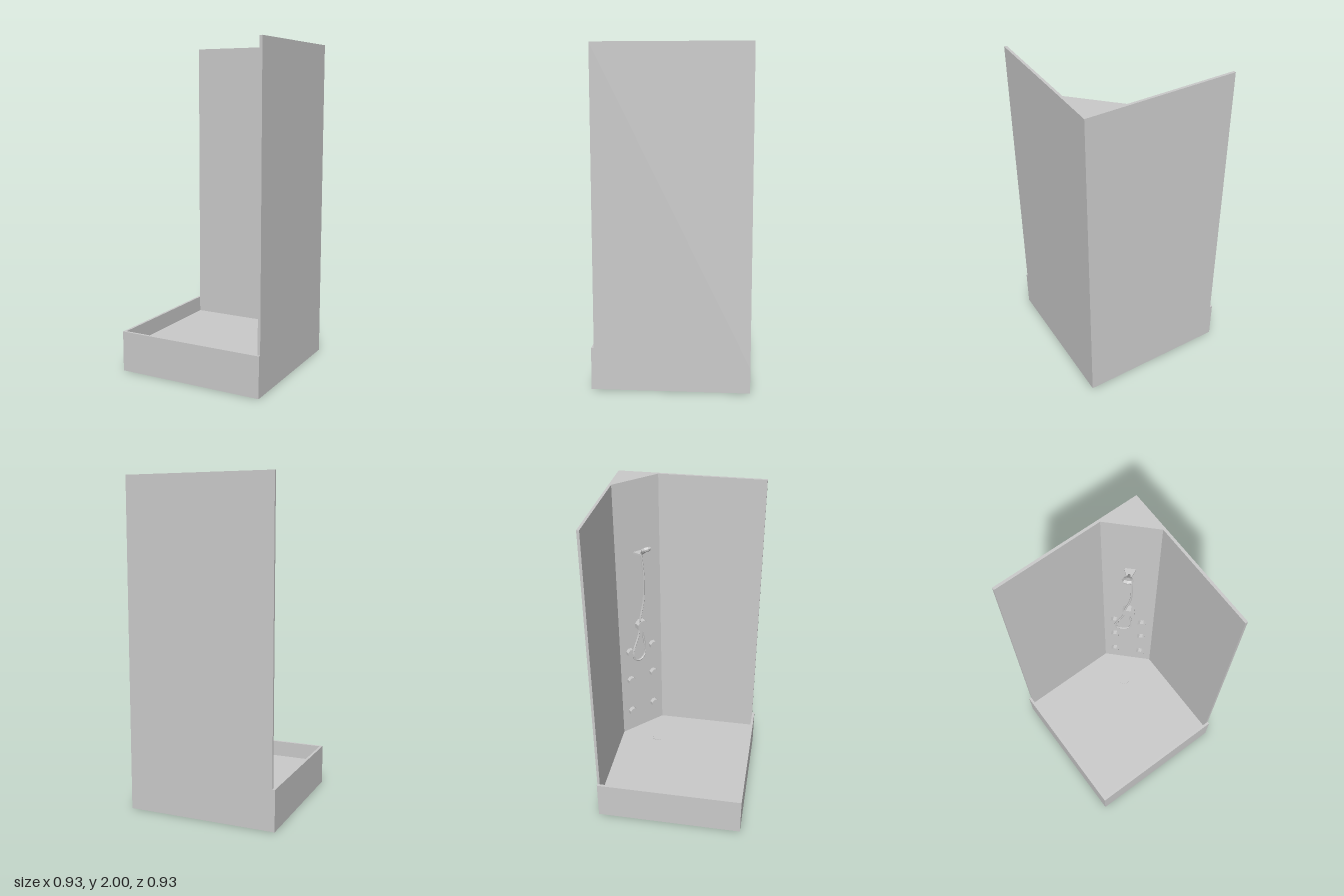
import * as THREE from 'three';

const mat = new THREE.MeshStandardMaterial({ color: 0xcccccc, flatShading: true });

function add(parent, name, geo, x = 0, y = 0, z = 0) {
  const m = new THREE.Mesh(geo, mat);
  m.name = name;
  m.position.set(x, y, z);
  parent.add(m);
  return m;
}

// Vertical prism from a plan outline of [x, z] points
function prism(points, height) {
  const shape = new THREE.Shape(points.map(([x, z]) => new THREE.Vector2(x, -z)));
  return new THREE.ExtrudeGeometry(shape, { depth: height, bevelEnabled: false }).rotateX(-Math.PI / 2);
}

// Eight-sided knob standing on the panel, flat side up, pointing along +z
function knob(apothem, depth) {
  const r = apothem / Math.cos(Math.PI / 8);
  return new THREE.CylinderGeometry(r, r, depth, 8)
    .rotateX(Math.PI / 2).rotateZ(Math.PI / 8).translate(0, 0, depth / 2);
}

export function createModel() {
  const group = new THREE.Group();
  const o = 0.464, i = 0.448, floorY = 0.15, rimY = 0.25;

  // Tray: solid floor with a raised rim on the two open sides
  add(group, 'trayFloor', new THREE.BoxGeometry(2 * o, floorY, 2 * o), 0, floorY / 2, 0);
  add(group, 'trayRim', prism([[-o, -o], [-i, -o], [-i, i], [o, i], [o, o], [-o, o]], rimY - floorY), 0, floorY, 0);
  add(group, 'drain', new THREE.CylinderGeometry(0.037, 0.037, 0.004, 8), 0.198, floorY + 0.002, -0.197);

  // Two tall walls joined by a solid diagonal corner
  add(group, 'walls', prism([[-i, -o], [o, -o], [o, i], [i, i], [i, -0.214], [0.214, -i], [-i, -i]], 2 - floorY), 0, floorY, 0);

  // Fittings: local x runs along the diagonal panel, local z points out of it
  const fittings = new THREE.Group();
  fittings.name = 'fittings';
  fittings.position.set(0.331, 0, -0.331);
  fittings.rotation.y = -Math.PI / 4;
  group.add(fittings);

  for (const y of [0.315, 0.58, 0.81])
    for (const side of [-1, 1])
      add(fittings, 'bodyJet', knob(0.027, 0.027), side * 0.091, y, 0);
  add(fittings, 'valve', knob(0.039, 0.04), 0, 1.0, 0);

  // Tapered bracket holding the handset
  add(fittings, 'bracket', prism([[-0.035, 0], [0.035, 0], [0.014, 0.055], [-0.014, 0.055]], 0.011), 0, 1.523, 0);

  // Handset: handle and flared head, tilted out and down
  const handset = new THREE.Group();
  handset.name = 'handset';
  handset.position.set(0, 1.523, 0.034);
  handset.rotation.x = -0.72;
  fittings.add(handset);
  add(handset, 'handle', new THREE.CylinderGeometry(0.012, 0.008, 0.07, 8).rotateX(Math.PI / 2), 0, 0, 0.03);
  const headProfile = [[0, -0.014], [0.028, -0.014], [0.036, -0.004], [0.028, 0.01], [0, 0.016]]
    .map(([r, y]) => new THREE.Vector2(r, y));
  const head = add(handset, 'showerHead', new THREE.LatheGeometry(headProfile, 8), 0, 0, 0.086);
  head.rotation.x = 0.15;

  // Hose: from under the valve, looping down and back up to the handset
  const hosePath = new THREE.CatmullRomCurve3([
    [0.004, 0.98, 0.02], [0.008, 0.92, 0.02], [0.02, 0.83, 0.021], [0.012, 0.765, 0.025],
    [-0.03, 0.739, 0.03], [-0.075, 0.765, 0.036], [-0.082, 0.82, 0.037], [-0.035, 0.94, 0.033],
    [-0.02, 1.05, 0.033], [0.01, 1.18, 0.033], [0.018, 1.34, 0.034], [0.005, 1.53, 0.032],
  ].map(p => new THREE.Vector3(...p)));
  add(fittings, 'hose', new THREE.TubeGeometry(hosePath, 48, 0.0065, 6));

  return group;
}
